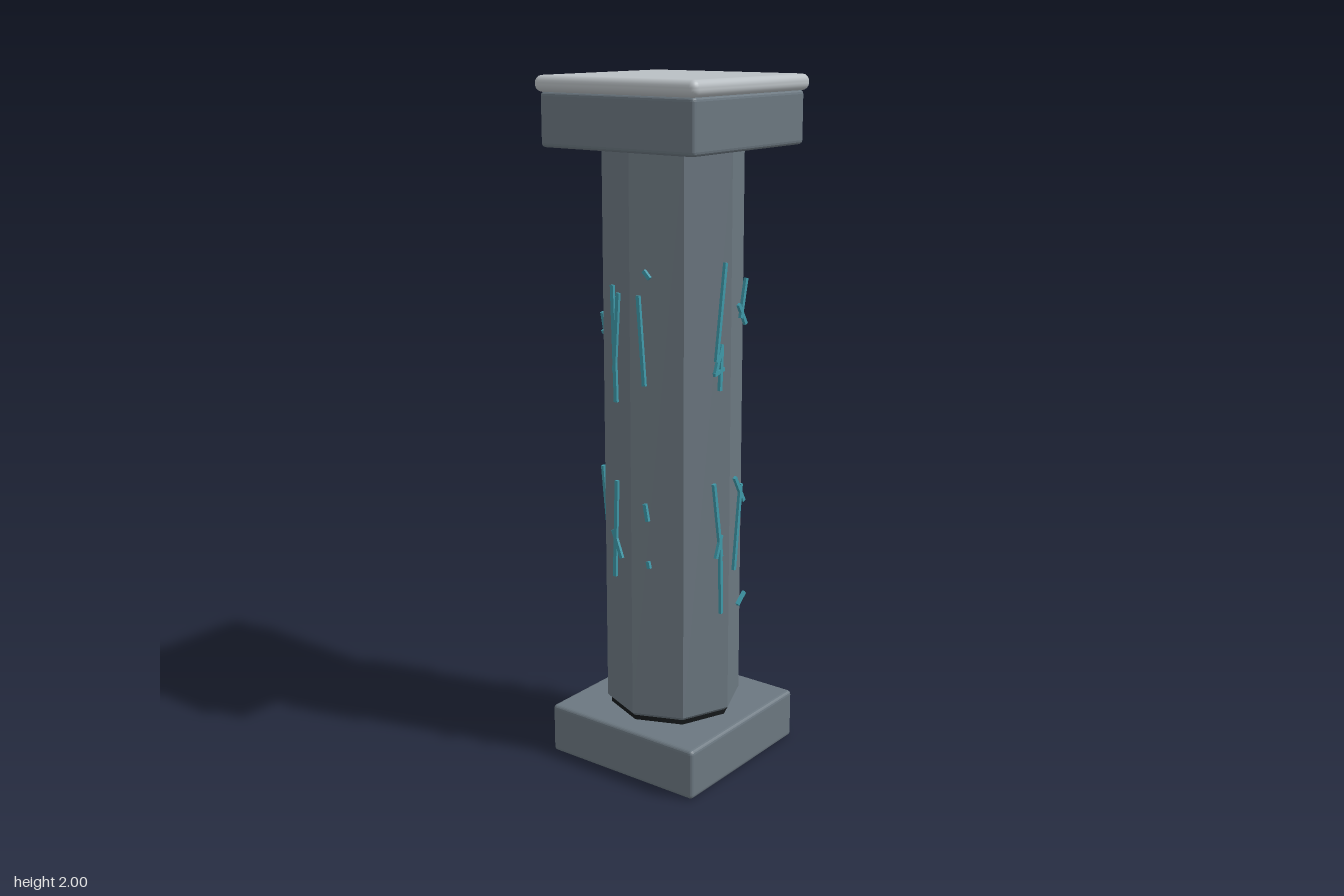
import * as THREE from 'three';
import { RoundedBoxGeometry } from 'three/addons/geometries/RoundedBoxGeometry.js';

export function createModel() {
  const model = new THREE.Group();
  model.name = 'column';

  const mat = (name, color, flatShading = false) => {
    const m = new THREE.MeshStandardMaterial({ color, flatShading });
    m.name = name;
    return m;
  };
  const stone = mat('slate stone', 0x6b7780, true);
  const pale = mat('pale stone', 0xb9bfc3);
  const teal = mat('teal glow', 0x3f98a8);
  const dark = mat('dark seam', 0x15181a);

  const add = (name, geometry, material, y, parent = model) => {
    const mesh = new THREE.Mesh(geometry, material);
    mesh.name = name;
    mesh.position.y = y;
    parent.add(mesh);
    return mesh;
  };

  // Square blocks at the foot and head, and the pale slab on top
  add('base', new RoundedBoxGeometry(0.52, 0.15, 0.52, 2, 0.012), stone, 0.08).position.y = 0.075;
  add('capital', new RoundedBoxGeometry(0.52, 0.15, 0.52, 2, 0.012), stone, 1.882);
  add('topSlab', new RoundedBoxGeometry(0.546, 0.045, 0.546, 3, 0.02), pale, 1.9775);

  // Eight-sided shaft with a small bevel and a dark joint under it
  add('shaftBevel', new THREE.CylinderGeometry(0.2, 0.19, 0.01, 8), stone, 0.17);
  add('shaft', new THREE.CylinderGeometry(0.2, 0.2, 1.645, 8), stone, 0.9975);
  add('joint', new THREE.CylinderGeometry(0.188, 0.188, 0.03, 8), dark, 0.154);

  // Glowing cracks on each side: [across, y, across, y] for each line
  const sides = {
    front: [0, [
      [-0.03, 1.505, -0.07, 1.235], [-0.045, 1.28, -0.052, 1.15], [-0.08, 1.2, -0.035, 1.21],
      [-0.075, 1.2, -0.045, 1.28], [0.07, 1.45, 0.045, 1.34], [0.035, 1.38, 0.07, 1.32],
      [-0.077, 0.885, -0.04, 0.66], [-0.045, 0.72, -0.038, 0.485], [-0.04, 0.725, -0.065, 0.66],
      [0.025, 0.88, 0.07, 0.8], [0.055, 0.855, 0.025, 0.6], [0.045, 0.485, 0.08, 0.515]]],
    right: [Math.PI / 2, [
      [-0.055, 1.41, -0.07, 1.12], [-0.068, 1.34, -0.056, 1.2], [-0.078, 1.18, -0.055, 1.15],
      [0.03, 1.465, 0.03, 1.17], [0.02, 1.18, 0.055, 1.155],
      [-0.06, 0.87, -0.025, 0.57], [-0.065, 0.64, -0.025, 0.5], [-0.07, 0.685, -0.025, 0.7],
      [0.055, 0.83, 0.045, 0.745], [0.075, 0.66, 0.065, 0.575]]],
    back: [Math.PI, [
      [-0.08, 1.45, -0.075, 1.15], [-0.08, 1.42, -0.04, 1.3], [-0.04, 1.3, -0.055, 1.23],
      [0.075, 1.33, 0.04, 1.18], [0.025, 1.29, 0.075, 1.27],
      [-0.08, 0.87, -0.05, 0.7], [-0.045, 0.74, -0.06, 0.69],
      [0.08, 0.87, 0.04, 0.505], [0.04, 0.7, 0.06, 0.51]]],
    left: [-Math.PI / 2, [
      [-0.06, 1.44, -0.05, 1.11], [-0.04, 1.42, -0.055, 1.2], [0.03, 1.42, 0.05, 1.17],
      [0.05, 1.49, 0.07, 1.47], [-0.05, 0.88, -0.06, 0.59], [-0.065, 0.73, -0.035, 0.65],
      [0.05, 0.83, 0.06, 0.78], [0.06, 0.66, 0.065, 0.64]]],
  };
  for (const [side, [turn, lines]] of Object.entries(sides)) {
    const group = new THREE.Group();
    group.name = side + 'Cracks';
    group.rotation.y = turn;
    for (const [x1, y1, x2, y2] of lines) {
      const length = Math.hypot(x2 - x1, y2 - y1);
      const crack = add('crack', new THREE.BoxGeometry(0.011, length, 0.009), teal, (y1 + y2) / 2, group);
      crack.position.x = (x1 + x2) / 2;
      crack.position.z = 0.2;
      crack.rotation.z = Math.atan2(x1 - x2, y2 - y1);
    }
    model.add(group);
  }
  return model;
}
